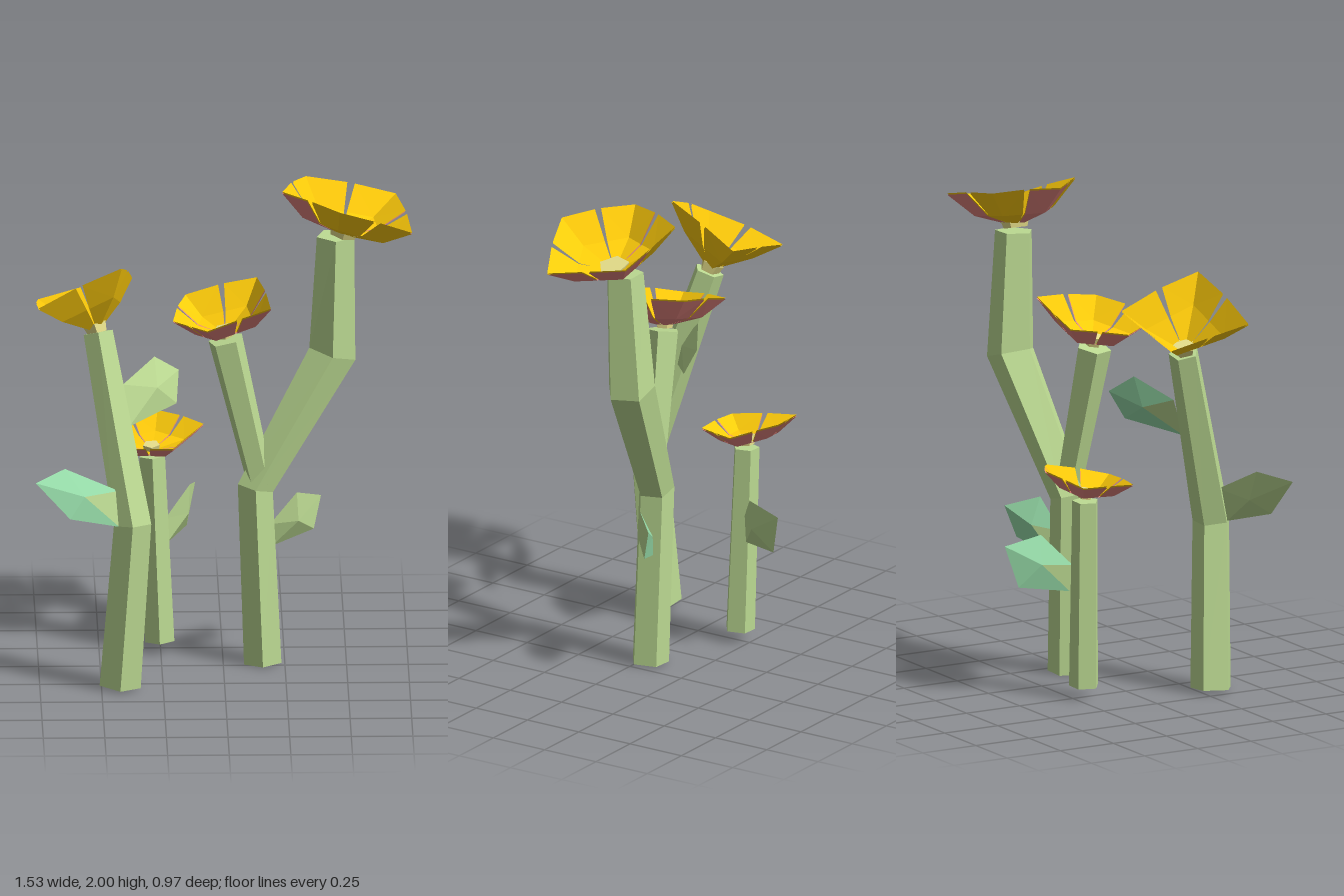
import * as THREE from 'three';

const V = (p) => new THREE.Vector3(...p);
const UP = new THREE.Vector3(0, 1, 0);
const mat = (color, side = THREE.FrontSide) => new THREE.MeshStandardMaterial({ color, side, flatShading: true });

// Geometry from a list of triangles, each an array of three Vector3
function fromTriangles(tris) {
  const g = new THREE.BufferGeometry().setFromPoints(tris.flat());
  g.computeVertexNormals();
  return g;
}

// Five-sided stem swept through joints [x, y, z, radius]
function stemGeometry(joints, turn, sides = 5) {
  const pts = joints.map(([x, y, z]) => new THREE.Vector3(x, y, z));
  const rings = joints.map((j, i) => {
    const dir = new THREE.Vector3();
    if (i > 0) dir.add(pts[i].clone().sub(pts[i - 1]).normalize());
    if (i < pts.length - 1) dir.add(pts[i + 1].clone().sub(pts[i]).normalize());
    const q = new THREE.Quaternion().setFromUnitVectors(UP, dir.normalize());
    return Array.from({ length: sides }, (_, k) => {
      const a = (k / sides) * Math.PI * 2 + turn;
      return new THREE.Vector3(Math.sin(a) * j[3], 0, Math.cos(a) * j[3]).applyQuaternion(q).add(pts[i]);
    });
  });
  const tris = [];
  const last = rings.length - 1;
  for (let k = 0; k < sides; k++) {
    const n = (k + 1) % sides;
    for (let i = 0; i < last; i++) {
      const [a, b, c, d] = [rings[i][k], rings[i][n], rings[i + 1][n], rings[i + 1][k]];
      tris.push([a, b, c], [a, c, d]);
    }
    tris.push([pts[0], rings[0][n], rings[0][k]], [pts[last], rings[last][k], rings[last][n]]);
  }
  return fromTriangles(tris);
}

export function createModel() {
  const model = new THREE.Group();
  model.name = 'floweringPlants';
  const green = mat(0xbcda92), teal = mat(0x96dba8), cream = mat(0xe6de8a);
  const yellow = mat(0xffcc0a, THREE.DoubleSide), red = mat(0xe68680, THREE.DoubleSide);

  const add = (parent, name, geometry, material) => {
    const mesh = new THREE.Mesh(geometry, material);
    mesh.name = name;
    parent.add(mesh);
    return mesh;
  };

  // Stems
  const stem = (name, joints, turn = 0) => add(model, name, stemGeometry(joints, turn), green);
  stem('leftStem', [[-0.425, 0.01, 0.302, 0.088], [-0.375, 0.7, 0.332, 0.08], [-0.51, 1.45, 0.12, 0.063]]);
  stem('tallStem', [[0.16, 0, -0.035, 0.08], [0.13, 0.74, -0.045, 0.077], [0.444, 1.285, -0.13, 0.102], [0.457, 1.785, -0.108, 0.08]]);
  stem('sideBranch', [[0.15, 0.76, -0.04, 0.055], [0.008, 1.38, 0, 0.073]], Math.PI / 5);
  stem('shortStem', [[-0.255, 0.045, -0.198, 0.063], [-0.285, 0.825, -0.21, 0.055]]);

  // Flowers: heart point, petal tips in order around it, outside colour of each petal half
  const flower = (name, heart, tipList, outside, eyeRadius, sag) => {
    const group = new THREE.Group();
    group.name = name;
    const c = V(heart), tips = tipList.map(V), n = tips.length;
    const axis = new THREE.Vector3();
    tips.forEach((tip, i) => axis.add(tips[(i + 1) % n].clone().sub(c).cross(tip.clone().sub(c))));
    axis.normalize();
    // Point part way from the heart to the rim, lowered to make the petal cupped
    const belly = (rim, t) => c.clone().lerp(rim, t).addScaledVector(axis, -sag);
    tips.forEach((tip, i) => {
      const ridge = belly(tip, 0.62);
      [tips[(i + n - 1) % n], tips[(i + 1) % n]].forEach((neighbour, h) => {
        const corner = c.clone().lerp(tip.clone().lerp(neighbour, 0.46), 1.04);
        const side = belly(tip.clone().lerp(neighbour, 0.475), 0.62);
        const half = [[c, ridge, side], [ridge, tip, corner], [ridge, corner, side]];
        const inside = half.map(([p, q, r]) => (h ? [p, r, q] : [p, q, r]));
        add(group, 'petalInside', fromTriangles(inside), yellow);
        const outer = fromTriangles(inside.map(([p, q, r]) => [p, r, q]));
        add(group, 'petalOutside', outer, outside[(2 * i + h) % outside.length])
          .position.copy(axis).multiplyScalar(-0.006);
      });
    });
    const eye = add(group, 'flowerCentre', new THREE.CylinderGeometry(eyeRadius, eyeRadius * 0.8, 0.04, 5), cream);
    eye.quaternion.setFromUnitVectors(UP, axis);
    eye.position.copy(c).addScaledVector(axis, 0.01);
    model.add(group);
  };
  flower('tallFlower', [0.487, 1.8, -0.083],
    [[0.765, 1.845, 0.06], [0.47, 1.97, 0.185], [0.24, 1.998, -0.02], [0.34, 1.985, -0.28], [0.705, 1.91, -0.28]],
    [red, yellow, yellow, yellow, red, red, yellow, yellow, red, red], 0.065, 0.038);
  flower('leftFlower', [-0.515, 1.455, 0.12],
    [[-0.42, 1.755, 0.24], [-0.755, 1.6, 0.28], [-0.75, 1.53, -0.08], [-0.37, 1.62, -0.09]],
    [yellow], 0.05, 0.015);
  flower('middleFlower', [0.007, 1.4, -0.005],
    [[0.19, 1.545, 0.12], [-0.07, 1.49, 0.25], [-0.205, 1.47, 0.04], [-0.15, 1.51, -0.2], [0.14, 1.585, -0.19]],
    [red], 0.042, 0.032);
  flower('shortFlower', [-0.287, 0.845, -0.213],
    [[-0.2, 0.9, -0.05], [-0.41, 0.9, -0.06], [-0.475, 0.93, -0.33], [-0.26, 0.965, -0.385], [-0.075, 0.94, -0.27]],
    [red], 0.036, 0.024);

  // Leaves: outline from lower base around the tip to upper base, ridged on both sides
  const leaf = (name, outline) => {
    const group = new THREE.Group();
    group.name = name;
    const p = outline.map(V);
    const mid = p.reduce((s, q) => s.add(q), new THREE.Vector3()).multiplyScalar(1 / p.length);
    const normal = p[1].clone().sub(p[0]).cross(p[3].clone().sub(p[0])).normalize();
    const back = mid.clone().addScaledVector(normal, 0.035);
    const front = mid.clone().addScaledVector(normal, -0.025);
    const next = (i) => p[(i + 1) % p.length];
    const face = p.map((q, i) => [front, next(i), q]);
    add(group, 'leafUnderside', fromTriangles(p.map((q, i) => [back, q, next(i)])), green);
    add(group, 'leafFace', fromTriangles(face.slice(0, -1)), teal);
    add(group, 'leafBase', fromTriangles(face.slice(-1)), green);
    model.add(group);
  };
  leaf('leftStemLowerLeaf', [[-0.43, 0.7, 0.37], [-0.63, 0.76, 0.46], [-0.77, 0.92, 0.48], [-0.65, 0.95, 0.38], [-0.43, 0.84, 0.33]]);
  leaf('leftStemUpperLeaf', [[-0.385, 1.07, 0.19], [-0.19, 1.12, 0.03], [-0.18, 1.24, -0.04], [-0.28, 1.315, 0.02], [-0.41, 1.23, 0.13]]);
  leaf('shortStemLeaf', [[-0.225, 0.44, -0.25], [-0.14, 0.46, -0.44], [-0.105, 0.63, -0.485], [-0.13, 0.665, -0.33], [-0.23, 0.55, -0.24]]);
  leaf('tallStemLeaf', [[0.2, 0.48, -0.08], [0.37, 0.53, -0.15], [0.4, 0.66, -0.19], [0.3, 0.705, -0.08], [0.19, 0.58, -0.05]]);

  return model;
}
